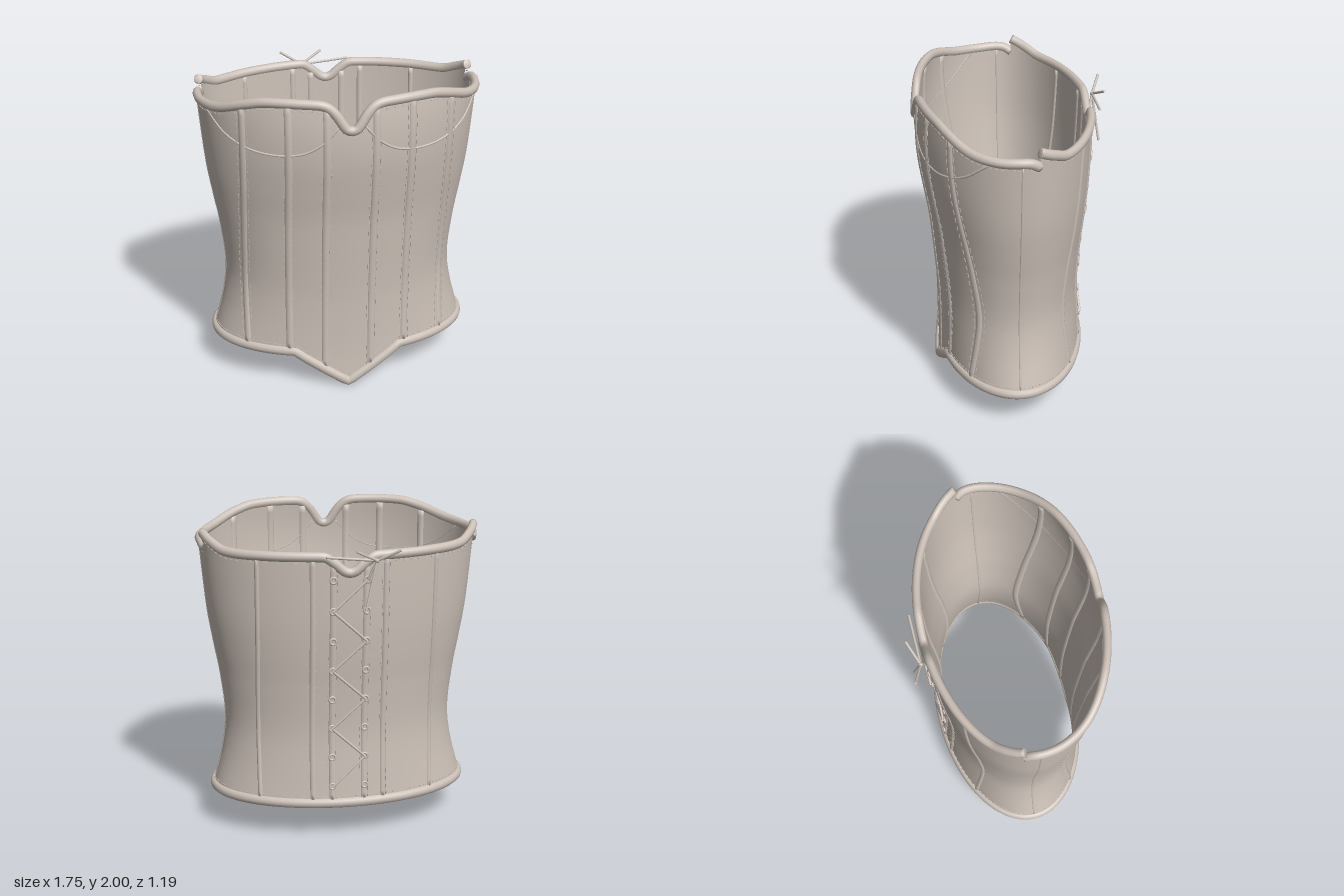
import * as THREE from 'three';
import { mergeGeometries } from 'three/addons/utils/BufferGeometryUtils.js';

// smooth interpolation through [t, value] pairs, clamped at both ends
function curve(p) {
  const slope = i => {
    const a = p[Math.max(i - 1, 0)], b = p[Math.min(i + 1, p.length - 1)];
    return (b[1] - a[1]) / (b[0] - a[0]);
  };
  return t => {
    if (t <= p[0][0]) return p[0][1];
    if (t >= p[p.length - 1][0]) return p[p.length - 1][1];
    let i = 0;
    while (t > p[i + 1][0]) i++;
    const d = p[i + 1][0] - p[i][0], u = (t - p[i][0]) / d, u2 = u * u, u3 = u2 * u;
    return p[i][1] * (2 * u3 - 3 * u2 + 1) + slope(i) * d * (u3 - 2 * u2 + u)
      + p[i + 1][1] * (3 * u2 - 2 * u3) + slope(i + 1) * d * (u3 - u2);
  };
}

const PI = Math.PI, STEP = 1.77, WALL = 0.02;
// half width, front depth and back depth by height
const halfWidth = curve([[0.2, 0.82], [0.25, 0.81], [0.5, 0.746], [0.72, 0.72], [1, 0.746], [1.2, 0.78], [1.4, 0.812], [1.6, 0.832], [1.9, 0.856]]);
const frontDepth = curve([[0, 0.475], [0.25, 0.462], [0.6, 0.464], [0.8, 0.475], [1, 0.49], [1.2, 0.507], [1.4, 0.538], [1.6, 0.566], [1.8, 0.572], [2, 0.553]]);
const backDepth = curve([[0.25, 0.452], [0.4, 0.442], [0.7, 0.428], [1, 0.445], [1.2, 0.465], [1.4, 0.48], [1.6, 0.488], [1.9, 0.495]]);
// top edge by angle from centre front, and by angle from centre back
const topFront = curve([[0, 1.81], [0.04, 1.822], [0.11, 1.91], [0.17, 1.955], [0.26, 1.97], [0.6, 1.97], [0.77, 1.945], [1.05, 1.89], [1.33, 1.87], [1.57, 1.87], [1.68, 1.862], [STEP, 1.835]]);
const topBack = curve([[0, 1.74], [0.04, 1.75], [0.11, 1.8], [0.17, 1.835], [0.24, 1.84], [0.6, 1.84], [1, 1.845], [1.17, 1.88], [PI - STEP, 1.925]]);

const wrap = a => Math.atan2(Math.sin(a), Math.cos(a));
const topFor = (a, front) => front ? topFront(Math.abs(wrap(a))) : topBack(PI - Math.abs(wrap(a)));
const topAt = a => topFor(a, Math.abs(wrap(a)) < STEP);
function bottomAt(a) {
  const x = Math.abs(0.82 * Math.sin(a));
  return Math.cos(a) > 0 && x < 0.34 ? 0.033 + x / 0.34 * 0.222 : 0.255;
}
const depth = (a, y) => Math.cos(a) > 0 ? frontDepth(y) : backDepth(y);
function normalAt(a, y) {
  return new THREE.Vector3(Math.sin(a) / halfWidth(y), 0, Math.cos(a) / depth(a, y)).normalize();
}
function surface(a, y, off = 0) {
  return new THREE.Vector3(halfWidth(y) * Math.sin(a), y, depth(a, y) * Math.cos(a)).addScaledVector(normalAt(a, y), off);
}
// angle on the body at a given x
function angleAt(x, y, front) {
  const a = Math.asin(THREE.MathUtils.clamp(x / halfWidth(y), -1, 1));
  return front ? a : PI - a;
}

function build(pos, idx) {
  const g = new THREE.BufferGeometry();
  g.setAttribute('position', new THREE.Float32BufferAttribute(pos, 3));
  g.setIndex(idx);
  g.computeVertexNormals();
  return g;
}

// fabric panel between the bottom and top edges
function panel(a0, a1, front, cols, off, flip) {
  const rows = 40, pos = [], idx = [];
  for (let i = 0; i <= cols; i++) {
    const a = a0 + (a1 - a0) * i / cols, b = bottomAt(a), t = topFor(a, front);
    for (let j = 0; j <= rows; j++) pos.push(...surface(a, b + (t - b) * j / rows, off).toArray());
  }
  for (let i = 0; i < cols; i++) for (let j = 0; j < rows; j++) {
    const p = i * (rows + 1) + j, q = p + rows + 1;
    if (flip) idx.push(p, p + 1, q, q, p + 1, q + 1);
    else idx.push(p, q, p + 1, q, q + 1, p + 1);
  }
  return build(pos, idx);
}

// sweep an oval section along a path of [angle, height] on the body
function sweep(path, w, h, off, closed = false) {
  const K = 10, n = path.length, pos = [], idx = [];
  const pts = path.map(([a, y]) => surface(a, y, off));
  pts.forEach((c, i) => {
    const prev = pts[closed ? (i + n - 1) % n : Math.max(i - 1, 0)];
    const next = pts[closed ? (i + 1) % n : Math.min(i + 1, n - 1)];
    const T = next.clone().sub(prev).normalize();
    const N = normalAt(...path[i]);
    N.addScaledVector(T, -N.dot(T)).normalize();
    const S = T.clone().cross(N);
    for (let k = 0; k < K; k++) {
      const f = k / K * 2 * PI;
      pos.push(...c.clone().addScaledVector(N, h * Math.cos(f)).addScaledVector(S, w * Math.sin(f)).toArray());
    }
  });
  for (let i = 0; i < (closed ? n : n - 1); i++) for (let k = 0; k < K; k++) {
    const p = i * K + k, q = i * K + (k + 1) % K, m = ((i + 1) % n) * K;
    idx.push(p, q, m + k, q, m + (k + 1) % K, m + k);
  }
  if (!closed) for (let k = 1; k < K - 1; k++) {
    const e = (n - 1) * K;
    idx.push(0, k + 1, k, e, e + k, e + k + 1);
  }
  return build(pos, idx);
}

// small raised stitches, one on every other segment of a path
function stitches(path, off) {
  const list = [];
  for (let i = 0; i + 1 < path.length; i += 2) {
    const p = surface(...path[i], off), q = surface(...path[i + 1], off);
    const m = new THREE.Matrix4().lookAt(p, q, normalAt(...path[i])).setPosition(p.clone().add(q).multiplyScalar(0.5));
    list.push(new THREE.BoxGeometry(0.006, 0.006, p.distanceTo(q)).applyMatrix4(m));
  }
  return mergeGeometries(list);
}

const line = (n, fn) => Array.from({ length: n + 1 }, (_, i) => fn(i / n));
// vertical path at constant x, from the bottom trim to the top trim
function vertical(x, front, n) {
  const at = angleAt(x, 1.8, front), ab = angleAt(x, 0.25, front);
  const t = topAt(at) - 0.02, b = bottomAt(ab) + 0.02;
  return line(n, u => { const y = b + (t - b) * u; return [angleAt(x, y, front), y]; });
}

export function createModel() {
  const model = new THREE.Group();
  const fabric = new THREE.MeshStandardMaterial({ color: 0xccc1b8 });
  fabric.name = 'beige fabric';
  const add = (name, geo, parent = model) => {
    const m = new THREE.Mesh(geo, fabric);
    m.name = name;
    parent.add(m);
    return m;
  };

  // body: outer cloth and lining
  for (const [label, off, flip] of [['Cloth', 0, false], ['Lining', -WALL, true]]) {
    add('front' + label, panel(-STEP, STEP, true, 180, off, flip));
    add('back' + label, panel(STEP, 2 * PI - STEP, false, 120, off, flip));
  }

  // bound edges
  const topPath = (a0, a1, front, n, drop = 0) => line(n, u => { const a = a0 + (a1 - a0) * u; return [a, topFor(a, front) - drop]; });
  add('frontTopTrim', sweep(topPath(-STEP, STEP, true, 180), 0.03, 0.026, -0.004));
  add('backTopTrim', sweep(topPath(STEP, 2 * PI - STEP, false, 120), 0.03, 0.026, -0.004));
  const bottomPath = line(240, u => [u * 2 * PI, bottomAt(u * 2 * PI)]);
  add('bottomTrim', sweep(bottomPath.slice(0, -1), 0.032, 0.024, -0.004, true));
  add('frontTopStitching', stitches(topPath(-STEP, STEP, true, 120, 0.042), 0.001));
  add('backTopStitching', stitches(topPath(STEP, 2 * PI - STEP, false, 90, 0.042), 0.001));
  add('bottomStitching', stitches(bottomPath.map(([a, y]) => [a, y + 0.042]), 0.001));

  // boning channels and side seams
  for (const s of [-1, 1]) {
    for (const [x, front, w] of [[0.145, true, 0.027], [0.365, true, 0.027], [0.62, true, 0.027], [0.54, false, 0.018], [0.22, false, 0.022], [0.1, false, 0.025]]) {
      add('boningChannel', sweep(vertical(s * x, front, 40), w, 0.02, -0.01));
      if (w > 0.02) for (const d of [-w, w]) add('boningStitching', stitches(vertical(s * x + d, front, 60), 0.001));
    }
    add('sideSeam', sweep(line(40, u => [s * PI / 2, 0.27 + 1.58 * u]), 0.01, 0.014, -0.01));
    // cup seam under the bust
    const cup = curve([[0.08, 1.83], [0.16, 1.74], [0.28, 1.67], [0.44, 1.65], [0.6, 1.675], [0.72, 1.74], [0.81, 1.85]]);
    add('cupSeam', sweep(line(50, u => {
      const x = 0.08 + 0.73 * u, y = cup(x);
      return [angleAt(s * x, y, true), y];
    }), 0.009, 0.014, -0.008));
  }

  // eyelets down the centre back
  const lacing = new THREE.Group();
  lacing.name = 'lacing';
  model.add(lacing);
  const eyelet = (s, k, off) => {
    const y = 0.37 + 0.19 * k;
    return surface(angleAt(s * 0.1, y, false), y, off);
  };
  for (const s of [-1, 1]) for (let k = 0; k < 8; k++) {
    add('eyelet', new THREE.TorusGeometry(0.018, 0.007, 8, 16), lacing).position.copy(eyelet(s, k, 0.012));
  }

  // zigzag cord, top strand and bow
  const cord = (name, p, q) => {
    const m = add(name, new THREE.CylinderGeometry(0.008, 0.008, p.distanceTo(q), 8), lacing);
    m.position.copy(p).add(q).multiplyScalar(0.5);
    m.quaternion.setFromUnitVectors(new THREE.Vector3(0, 1, 0), q.clone().sub(p).normalize());
  };
  for (let k = 0; k < 7; k++) cord('lace', eyelet(k % 2 ? -1 : 1, k, 0.022), eyelet(k % 2 ? 1 : -1, k + 1, 0.022));
  const v = (x, y, z) => new THREE.Vector3(x, y, z);
  const knot = v(-0.15, 1.82, -0.535);
  cord('lace', eyelet(-1, 7, 0.022), knot);
  cord('topStrand', knot, v(0.15, 1.85, -0.535));
  for (const end of [v(-0.28, 1.89, -0.59), v(-0.02, 1.89, -0.59), v(-0.08, 1.53, -0.575)]) cord('bowEnd', knot, end);
  add('knot', new THREE.SphereGeometry(0.014, 12, 8), lacing).position.copy(knot);

  return model;
}
